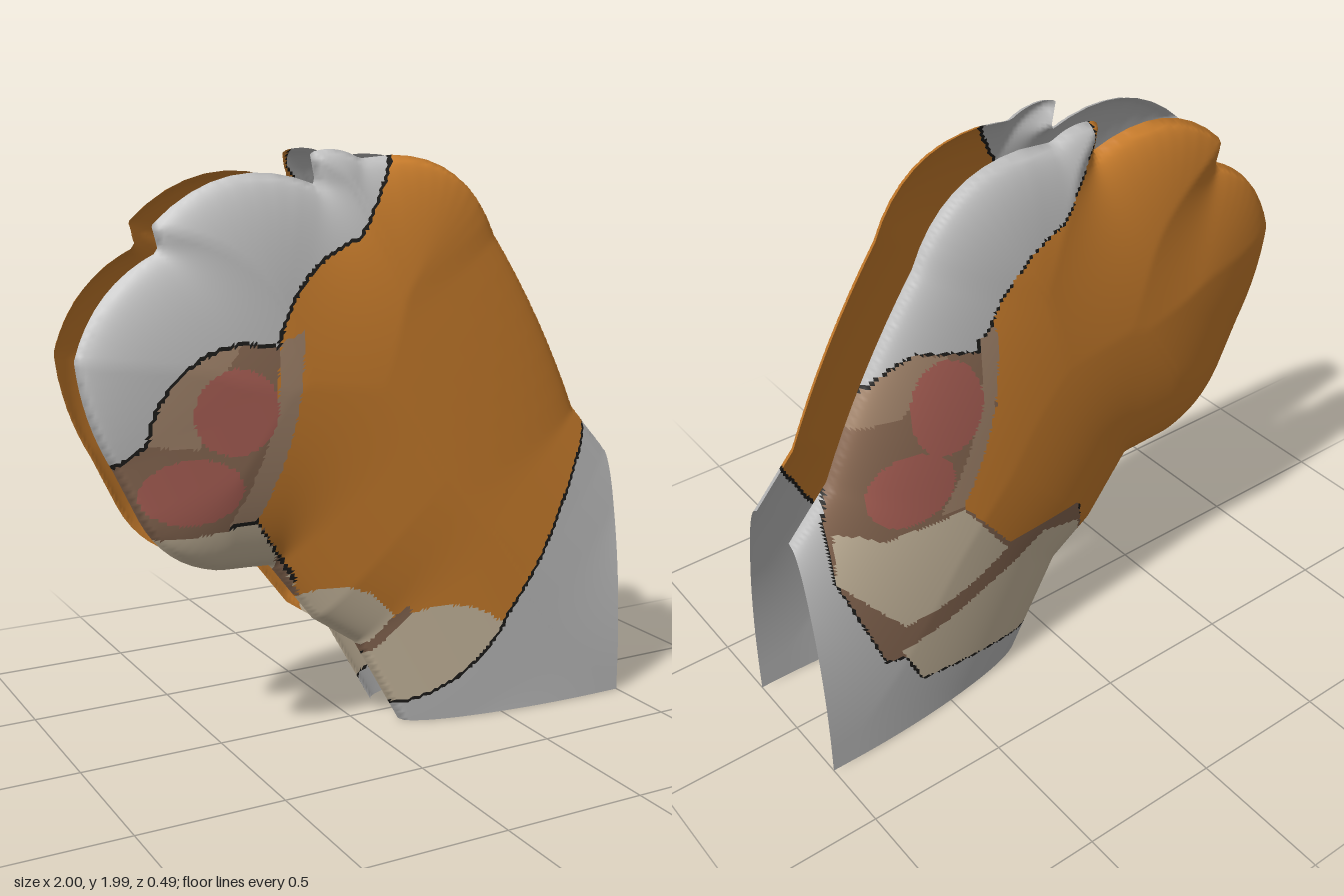
import * as THREE from 'three';

const mat = (name, color) => {
  const m = new THREE.MeshStandardMaterial({ color, side: THREE.DoubleSide });
  m.name = name;
  return m;
};

// Corners [x, y, bulge] joined by arcs; the bulge is how far the next edge bows to its left
function arcs(corners) {
  const points = [];
  corners.forEach(([x, y, bulge = 0], i) => {
    const [nx, ny] = corners[(i + 1) % corners.length];
    const dx = nx - x, dy = ny - y, len = Math.hypot(dx, dy), steps = bulge ? 8 : 1;
    for (let s = 0; s < steps; s++) {
      const t = s / steps, bow = (4 * t * (1 - t) * bulge) / len;
      points.push([x + dx * t - dy * bow, y + dy * t + dx * bow]);
    }
  });
  return points;
}

const oval = (cx, cy, rx, ry) =>
  new THREE.EllipseCurve(cx, cy, rx, ry).getPoints(40).map((p) => [p.x, p.y]);

// Silhouette shared by both shells; its ends run past the open cuts at y = 0 and x = 1
const OUTLINE = arcs([
  [.2, -.1], [.14, 0], [-.04, .32], [-.2, .43], [-.36, .64], [-.55, .65, .04], [-.81, .85], [-.89, 1.02, .02],
  [-1, 1.37, .05], [-.72, 1.69], [-.74, 1.77, .09], [-.18, 1.88], [-.2, 1.98, .02], [-.02, 1.96], [.1, 1.97, .08],
  [.5, 1.7, .02], [.85, 1.07], [1, .9], [1.1, .8],
]);
const CLOSED = [...OUTLINE, [1.1, -.1]];

function inside(poly, x, y) {
  let hit = false;
  for (let i = 0, j = poly.length - 1; i < poly.length; j = i++) {
    const [ax, ay] = poly[i], [bx, by] = poly[j];
    if ((ay > y) !== (by > y) && x < ((bx - ax) * (y - ay)) / (by - ay) + ax) hit = !hit;
  }
  return hit;
}

// Nearest point on a polyline
function nearest(line, x, y) {
  let best = { d: Infinity };
  for (let i = 1; i < line.length; i++) {
    const [ax, ay] = line[i - 1], [bx, by] = line[i];
    const dx = bx - ax, dy = by - ay;
    const t = THREE.MathUtils.clamp(((x - ax) * dx + (y - ay) * dy) / (dx * dx + dy * dy || 1), 0, 1);
    const px = ax + t * dx, py = ay + t * dy, d = Math.hypot(x - px, y - py);
    if (d < best.d) best = { d, x: px, y: py };
  }
  return best;
}

// Domed height, rising from the rim as a quarter ellipse
function height(x, y) {
  if (!inside(CLOSED, x, y)) return 0.1;
  const k = 1 - Math.min(1, nearest(OUTLINE, x, y).d / 0.72);
  return 0.1 + 0.143 * Math.sqrt(1 - k * k);
}

// Colour areas: later ones lie over earlier ones, everything else is the grey coat
function paintFront(add) {
  add('body', 'orange', arcs([[.1, 1.98], [-.06, 1.71, -.06], [-.37, 1.4], [-.44, .82], [-.28, .6], [-.28, .5],
    [.02, .4], [.48, .34], [.65, .58], [.89, 1.02], [1.2, 1.5], [.6, 2.2]]));
  add('upperPad', 'cream', arcs([[-.9, .8], [-.44, .81], [-.28, .57], [-.4, .5], [-.9, .5]]));
  add('padFold', 'brown', arcs([[-.44, .83], [-.26, .53], [-.33, .5], [-.36, .7]]));
  add('padFold', 'brown', arcs([[.12, .45], [.15, .4], [0, .28], [-.1, .3]]));
  add('middlePad', 'cream', arcs([[-.25, .54, .06], [.07, .42], [0, .33], [-.15, .25], [-.35, .4]]));
  add('lowerPad', 'cream', arcs([[.13, .42, .05], [.49, .34, .05], [.1, .08], [-.1, .2], [.02, .3]]));
  add('pouch', 'brown', arcs([[-.9, 1.02], [-.8, 1.1, .08], [-.5, 1.4], [-.37, 1.38], [-.42, 1.05], [-.54, .8],
    [-.9, .77]]));
  add('pouchRim', 'lightBrown', arcs([[-.8, 1.1, .08], [-.5, 1.4], [-.64, 1.2], [-.64, 1.08]]));
  add('pouchEdge', 'lightBrown', arcs([[-.37, 1.4], [-.29, 1.43, .04], [-.44, .83], [-.54, .82, -.045]]));
  add('upperOval', 'red', oval(-.52, 1.19, .14, .14));
  add('lowerOval', 'red', oval(-.66, .94, .165, .11));
}

function paintBack(add) {
  add('body', 'orange', arcs([[-.17, 2.1], [-.17, 1.93], [0, 1.73, .04], [.29, 1.49, -.05], [.43, .85], [.24, .6],
    [-.1, .58], [-.14, .2], [-1.2, .3], [-1.2, 2.1]]));
  add('padFold', 'brown', arcs([[.43, .85], [.24, .6], [-.08, .6], [-.14, .42], [.5, .3], [.76, .36], [.9, .75],
    [.9, .95]]));
  add('upperPad', 'cream', arcs([[.88, .92, .04], [.43, .84], [.25, .58, -.03], [.68, .47], [.9, .74]]));
  add('lowerPad', 'cream', arcs([[.7, .37], [.62, .2], [.28, .14], [.1, .1], [-.2, .2], [-.1, .5], [.08, .56],
    [.2, .5], [.52, .4]]));
  add('pouch', 'brown', arcs([[.9, .95], [.8, 1.24, -.03], [.55, 1.45], [.34, 1.4], [.29, 1.2], [.43, .85],
    [.72, .83]]));
  add('pouchRim', 'lightBrown', arcs([[.8, 1.24, -.03], [.55, 1.45], [.45, 1.42], [.62, 1.25]]));
  add('pouchEdge', 'lightBrown', arcs([[.34, 1.44], [.28, 1.48, -.05], [.43, .85], [.52, .85, .06]]));
  add('upperOval', 'red', oval(.465, 1.24, .125, .17));
  add('lowerOval', 'red', oval(.61, .985, .155, .13));
}

// One open shell: a fine grid trimmed to the silhouette and sorted into coloured parts
function buildShell(name, side, paint, seamWidth, mats) {
  const areas = [];
  paint((part, color, poly) => areas.push({ part, color, poly, edge: [...poly, poly[0]] }));

  const N = 160, step = 2 / N, e = 0.02, points = [];
  for (let j = 0; j <= N; j++) for (let i = 0; i <= N; i++) {
    let x = -1 + i * step, y = j * step;
    const within = inside(CLOSED, x, y);
    if (!within) {
      const p = nearest(OUTLINE, x, y);
      if (p.d < step * 1.6) { x = Math.min(1, p.x); y = Math.max(0, p.y); }
    }
    const n = new THREE.Vector3(height(x - e, y) - height(x + e, y), height(x, y - e) - height(x, y + e), 2 * e);
    points.push({ x, y, z: within ? height(x, y) : 0.1, n: n.normalize(), within });
  }

  const parts = new Map();
  const addTriangle = (ids) => {
    const t = ids.map((k) => points[k]);
    if (!t.some((p) => p.within)) return;
    const cx = (t[0].x + t[1].x + t[2].x) / 3, cy = (t[0].y + t[1].y + t[2].y) / 3;
    let area = areas.findLast((a) => inside(a.poly, cx, cy));
    // A dark seam runs where the coat meets any other part
    if (!area) {
      const seam = areas.some((a) => nearest(a.edge, cx, cy).d < seamWidth);
      area = seam ? { part: 'seams', color: 'dark' } : { part: 'coat', color: 'grey' };
    }
    if (!parts.has(area.part)) parts.set(area.part, { color: area.color, map: new Map(), pos: [], nor: [], idx: [] });
    const g = parts.get(area.part);
    for (const k of side > 0 ? ids : [ids[0], ids[2], ids[1]]) {
      if (!g.map.has(k)) {
        const p = points[k];
        g.map.set(k, g.map.size);
        g.pos.push(p.x, p.y, side * p.z);
        g.nor.push(p.n.x, p.n.y, side * p.n.z);
      }
      g.idx.push(g.map.get(k));
    }
  };
  for (let j = 0; j < N; j++) for (let i = 0; i < N; i++) {
    const a = j * (N + 1) + i, b = a + 1, c = a + N + 1, d = c + 1;
    addTriangle([a, b, d]);
    addTriangle([a, d, c]);
  }

  const shell = new THREE.Group();
  shell.name = name;
  for (const [partName, g] of parts) {
    const geo = new THREE.BufferGeometry();
    geo.setAttribute('position', new THREE.Float32BufferAttribute(g.pos, 3));
    geo.setAttribute('normal', new THREE.Float32BufferAttribute(g.nor, 3));
    geo.setIndex(g.idx);
    const mesh = new THREE.Mesh(geo, mats[g.color]);
    mesh.name = partName;
    shell.add(mesh);
  }
  return shell;
}

export function createModel() {
  const mats = {
    grey: mat('grey', 0xc6c6c6),
    orange: mat('orange', 0xd4842f),
    cream: mat('cream', 0xd6c5a9),
    brown: mat('brown', 0x8f6e57),
    lightBrown: mat('light brown', 0xa98a70),
    red: mat('red', 0xb3655a),
    dark: mat('dark', 0x1f1e1c),
  };
  const model = new THREE.Group();
  model.name = 'twinShells';
  model.add(buildShell('frontShell', 1, paintFront, 0.012, mats), buildShell('backShell', -1, paintBack, 0.007, mats));
  return model;
}
